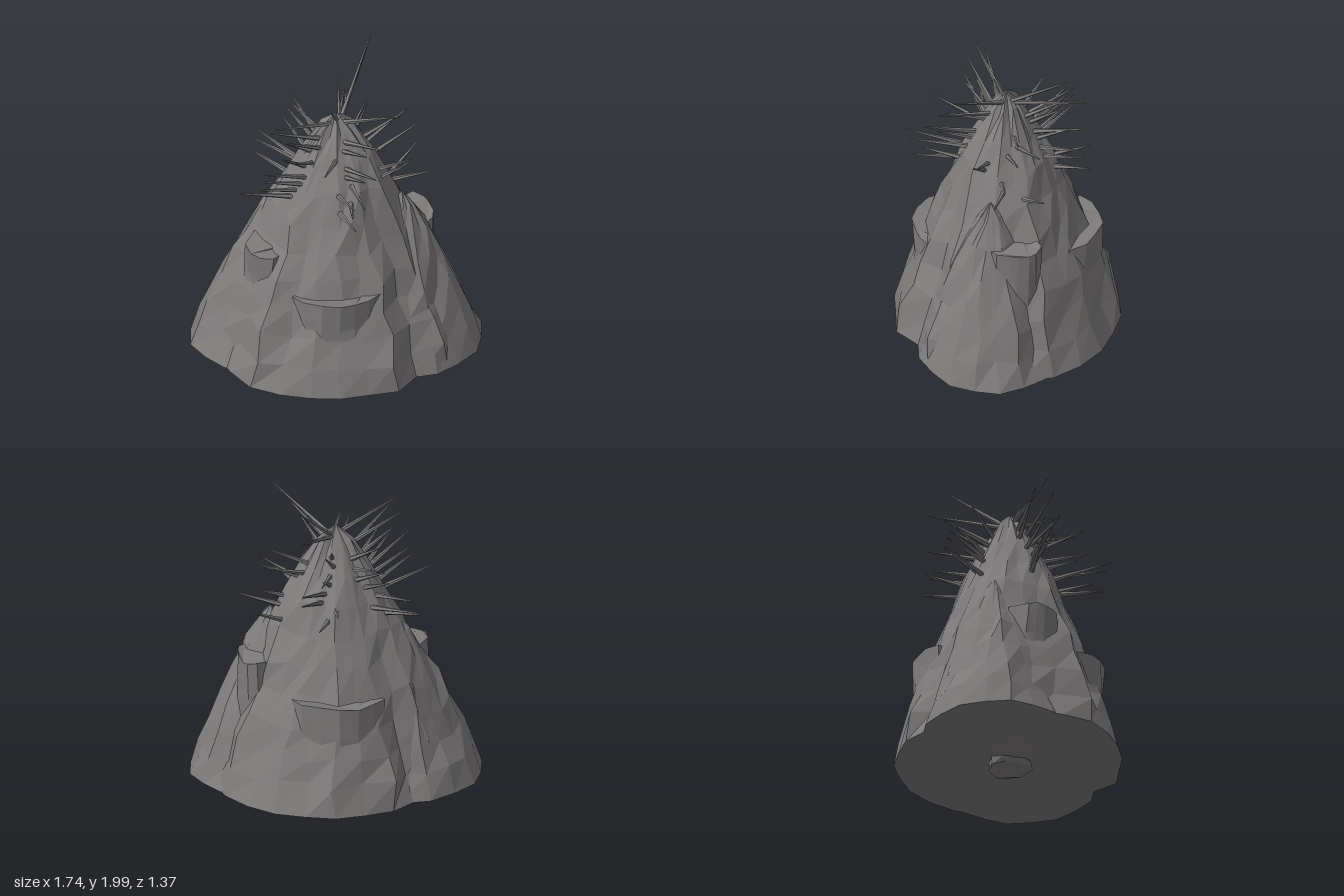
import * as THREE from 'three';

const rock = new THREE.MeshStandardMaterial({ color: 0x7e7b7b });
rock.name = 'rock grey';

const rad = THREE.MathUtils.degToRad;

// repeatable noise in -1..1
const noise = (a, b) => {
  const s = Math.sin(a * 127.1 + b * 311.7) * 43758.5453;
  return (s - Math.floor(s)) * 2 - 1;
};

function flatMesh(geometry, name) {
  const g = geometry.index ? geometry.toNonIndexed() : geometry;
  g.computeVertexNormals();
  const mesh = new THREE.Mesh(g, rock);
  mesh.name = name;
  return mesh;
}

// shift each vertex by noise that depends only on where it is
function roughen(g, amount) {
  const p = g.attributes.position;
  for (let i = 0; i < p.count; i++) {
    const [x, y, z] = [p.getX(i), p.getY(i), p.getZ(i)];
    const [a, b, c] = [x, z, y].map(v => Math.round(v * 100));
    p.setXYZ(i, x + amount * noise(a + c, b), y + amount * noise(a, b + c), z + amount * noise(b, a + c));
  }
  return g;
}

// craggy cone: a ground outline shrinking along a bulging curve up to an apex
function craggyCone(name, outline, apex, rows, power, seed) {
  const n = outline.length, ground = 0.095, pos = [], index = [];
  for (let r = 0; r < rows; r++) {
    const t = r / (rows - 0.4), s = (1 - t) ** power;
    outline.forEach(([x, z], i) => {
      const k = r ? s * (1 + 0.045 * noise(i + seed, 0) + 0.04 * noise(i + seed, r)) : 1;
      const dy = r ? 0.03 * noise(r + seed, i) : 0;
      const turn = r ? 0.05 * noise(i, r + seed) : 0;
      pos.push(apex[0] + (x - z * turn) * k, ground + t * (apex[1] - ground) + dy, apex[2] + (z + x * turn) * k);
    });
  }
  const top = rows * n, bottom = top + 1;
  pos.push(...apex, apex[0], ground, apex[2]);
  for (let i = 0; i < n; i++) {
    const j = (i + 1) % n;
    for (let r = 0; r < rows - 1; r++) {
      const a = r * n + i, b = r * n + j;
      index.push(a, a + n, b, b, a + n, b + n);
    }
    index.push(top - n + i, top, top - n + j, bottom, i, j);
  }
  const g = new THREE.BufferGeometry();
  g.setAttribute('position', new THREE.Float32BufferAttribute(pos, 3));
  g.setIndex(index);
  return flatMesh(g, name);
}

// side buttress: half-buried oval cone with one sharp outer ridge and fluted sides
function buttress(name, rx, start, apex, seed) {
  const oval = Array.from({ length: 18 }, (_, i) => {
    const a = start + i * Math.PI / 9, k = i % 2 ? 0.97 : 1.0;
    return [Math.cos(a) * rx * k, Math.sin(a) * 0.45 * k];
  });
  return craggyCone(name, oval, apex, 7, 0.8, seed);
}

// upright slab following an arc around the peak, with a ragged top
function ledge(name, middle, half, radius, depth, y0, y1) {
  const edge = inset => Array.from({ length: 7 }, (_, i) => {
    const u = i / 3 - 1, a = rad(middle + half * u), r = radius - 0.07 * u * u - inset;
    return new THREE.Vector2(Math.cos(a) * r, -Math.sin(a) * r);
  });
  const shape = new THREE.Shape([...edge(0), ...edge(depth).reverse()]);
  const g = new THREE.ExtrudeGeometry(shape, { depth: y1 - y0, bevelEnabled: false, steps: 2 });
  g.rotateX(-Math.PI / 2).translate(0, y0, 0);
  return flatMesh(roughen(g, 0.014), name);
}

// thin tapered spike from root to tip
function spike(root, tip) {
  const dir = tip.clone().sub(root), len = dir.length();
  const g = new THREE.CylinderGeometry(0.004, 0.017, len, 5);
  g.translate(0, len / 2, 0);
  g.applyQuaternion(new THREE.Quaternion().setFromUnitVectors(new THREE.Vector3(0, 1, 0), dir.normalize()));
  g.translate(root.x, root.y, root.z);
  return flatMesh(g, 'spike');
}

// tuft of spikes rooted in the peak around one compass direction
function tuft(name, count, middle, spread, low, high, reach, rise) {
  const group = new THREE.Group();
  group.name = name;
  for (let i = 0; i < count; i++) {
    const y = THREE.MathUtils.lerp(low, high, i / (count - 1));
    const a = rad(middle + spread * noise(i, middle)), r = (1.73 - y) * 0.58;
    const b = a + 0.3 * noise(middle, i), out = reach * (1 + 0.3 * noise(i, middle + 3));
    const root = new THREE.Vector3(Math.cos(a) * r, y, Math.sin(a) * r);
    const up = rise * (0.75 + 0.7 * i / count + 0.4 * noise(middle, i + 7));
    group.add(spike(root, new THREE.Vector3(Math.cos(b) * out, up, Math.sin(b) * out).add(root)));
  }
  return group;
}

export function createModel() {
  const model = new THREE.Group();
  model.name = 'spikyRock';

  // main peak: ground radius every 15 degrees, from left round to the front
  const radii = [0.77, 0.76, 0.76, 0.76, 0.66, 0.71, 0.67, 0.68, 0.69, 0.72, 0.76, 0.75,
    0.76, 0.76, 0.76, 0.76, 0.67, 0.69, 0.68, 0.7, 0.7, 0.73, 0.75, 0.77];
  const outline = radii.map((r, i) => [Math.cos(rad(i * 15)) * r, Math.sin(rad(i * 15)) * r]);
  model.add(craggyCone('mainPeak', outline, [0, 1.73, 0], 10, 0.72, 1));

  model.add(buttress('leftButtress', 0.5, 0, [0.37, 1.17, 0.14], 40));
  model.add(buttress('rightButtress', 0.53, Math.PI, [-0.34, 1.15, -0.15], 80));

  // ledges on all four sides
  model.add(ledge('frontLedge', 106, 32, 0.57, 0.13, 0.33, 0.69));
  model.add(ledge('backLedge', 283, 35, 0.58, 0.16, 0.36, 0.76));
  model.add(ledge('leftLedge', 0, 17, 0.61, 0.25, 0.4, 0.92));
  model.add(ledge('rightLedge', 174, 17, 0.58, 0.25, 0.5, 0.89));

  // spikes
  model.add(tuft('frontSpikes', 9, 94, 14, 1.2, 1.57, 0.29, 0.11));
  model.add(tuft('rightSpikes', 9, 164, 16, 1.22, 1.57, 0.29, 0.12));
  model.add(tuft('backRightSpikes', 7, 232, 16, 1.2, 1.53, 0.28, 0.11));
  model.add(tuft('backLeftSpikes', 8, 296, 14, 1.22, 1.55, 0.27, 0.1));
  model.add(tuft('leftSpikes', 8, 10, 26, 1.15, 1.48, 0.26, 0.13));
  const summit = new THREE.Group();
  summit.name = 'summitSpikes';
  const crown = new THREE.Vector3(0.02, 1.65, 0);
  [[0.32, 2, -0.34], [0.33, 1.84, -0.44], [0.29, 1.87, 0.35], [-0.05, 1.78, 0.07], [-0.43, 1.79, 0.15]]
    .forEach(tip => summit.add(spike(crown, new THREE.Vector3(...tip))));
  model.add(summit);

  // shallow keel and lump under the base
  const keel = new THREE.ConeGeometry(1, 0.045, 6);
  keel.rotateX(Math.PI).rotateY(Math.PI / 2).scale(0.42, 1, 0.16).translate(0, 0.074, 0);
  model.add(flatMesh(keel, 'keel'));
  const lump = new THREE.IcosahedronGeometry(1, 1);
  lump.scale(0.145, 0.055, 0.14).translate(0, 0.066, 0);
  model.add(flatMesh(roughen(lump, 0.012), 'undersideLump'));

  return model;
}
